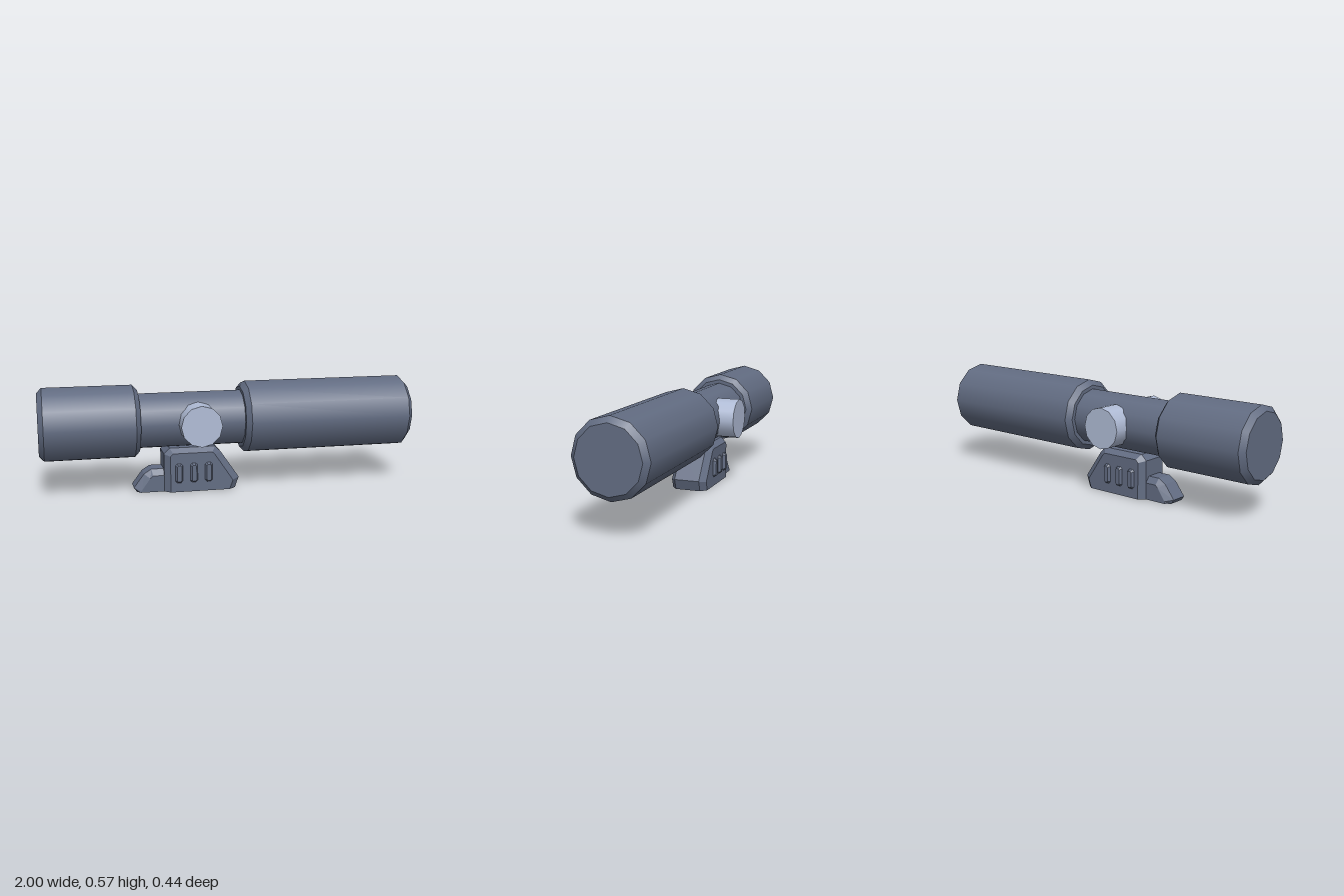
import * as THREE from 'three';

const AXIS_Y = 0.375;

export function createModel() {
  const root = new THREE.Group();
  root.name = 'scope';
  const slate = new THREE.MeshStandardMaterial({ color: 0x626c82 });
  slate.name = 'slate body';
  const pale = new THREE.MeshStandardMaterial({ color: 0xb0bcd6 });
  pale.name = 'pale knob';

  const add = (name, geo, mat, parent = root) => {
    const m = new THREE.Mesh(geo, mat);
    m.name = name;
    parent.add(m);
    return m;
  };

  // Twelve-sided band along x from (x0, r0) to (x1, r1)
  const band = (name, x0, r0, x1, r1, parent) => {
    const g = new THREE.CylinderGeometry(r1, r0, x1 - x0, 12, 1, true);
    g.rotateZ(-Math.PI / 2).translate((x0 + x1) / 2, AXIS_Y, 0);
    return add(name, g, slate, parent);
  };

  // Barrel with chamfered ends and flat caps
  const bell = (name, x0, x1) => {
    const group = new THREE.Group();
    group.name = name;
    root.add(group);
    const R = 0.195, r = 0.167, c = 0.026;
    band('rearChamfer', x0, r, x0 + c, R, group);
    band('barrel', x0 + c, R, x1 - c, R, group);
    band('frontChamfer', x1 - c, R, x1, r, group);
    for (const [x, s] of [[x0, -1], [x1, 1]]) {
      const cap = new THREE.CircleGeometry(r, 12).rotateY(s * Math.PI / 2);
      add('endCap', cap.translate(x, AXIS_Y, 0), slate, group);
    }
  };

  bell('eyepiece', -1, -0.483);
  bell('objective', 0.07, 1);
  band('tube', -0.483, 0.147, 0.07, 0.147);

  // Adjustment knobs on both sides
  for (const s of [-1, 1]) {
    const knob = new THREE.CylinderGeometry(0.108, 0.108, 0.122, 12);
    knob.rotateX(s * Math.PI / 2).translate(-0.177, AXIS_Y, s * 0.161);
    add(s > 0 ? 'frontKnob' : 'backKnob', knob, pale);
  }

  // Loft through [z, outline] sections (outlines counter-clockwise seen from +z), flat shaded
  const loft = (sections) => {
    const pos = [];
    const tri = (...pts) => pts.forEach((p) => pos.push(...p));
    const rings = sections.map(([z, pts]) => pts.map(([x, y]) => [x, y, z]));
    const n = rings[0].length;
    for (let k = 0; k + 1 < rings.length; k++) {
      for (let i = 0; i < n; i++) {
        const j = (i + 1) % n;
        const [a, b, c, d] = [rings[k][i], rings[k][j], rings[k + 1][j], rings[k + 1][i]];
        tri(a, b, c);
        tri(a, c, d);
      }
    }
    const back = rings[0], front = rings[rings.length - 1];
    for (const [p, q, r] of THREE.ShapeUtils.triangulateShape(
      front.map(([x, y]) => new THREE.Vector2(x, y)), [])) {
      tri(front[p], front[q], front[r]);
      tri(back[p], back[r], back[q]);
    }
    const g = new THREE.BufferGeometry();
    g.setAttribute('position', new THREE.Float32BufferAttribute(pos, 3));
    g.computeVertexNormals();
    return g;
  };
  const bevelled = (wide, narrow, zWide, zNarrow) =>
    loft([[-zWide, narrow], [-zNarrow, wide], [zNarrow, wide], [zWide, narrow]]);

  // Mount block with bevelled ends
  const mount = new THREE.Group();
  mount.name = 'mount';
  root.add(mount);
  const outer = [[-0.355, 0], [0.03, 0], [0.05, 0.058], [-0.05, 0.205], [-0.08, 0.235], [-0.325, 0.235], [-0.355, 0.205]];
  const inner = [[-0.325, 0], [-0.005, 0], [0.012, 0.05], [-0.085, 0.195], [-0.1, 0.21], [-0.31, 0.21], [-0.325, 0.195]];
  add('mountBlock', bevelled(outer, inner, 0.1, 0.07), slate, mount);

  // Rear release lever
  const leverOuter = [[-0.5, 0], [-0.34, 0], [-0.34, 0.12], [-0.42, 0.12], [-0.46, 0.095], [-0.515, 0.022]];
  const leverInner = [[-0.482, 0], [-0.34, 0], [-0.34, 0.088], [-0.415, 0.088], [-0.43, 0.075], [-0.475, 0.012]];
  add('lever', bevelled(leverOuter, leverInner, 0.07, 0.045), slate, mount);

  // Three raised grip ribs per side, running right through the block
  const rib = (x, w, y0, y1, c) => [
    [x - w + c, y0], [x + w - c, y0], [x + w, y0 + c], [x + w, y1 - c],
    [x + w - c, y1], [x - w + c, y1], [x - w, y1 - c], [x - w, y0 + c]];
  for (const x of [-0.28, -0.2, -0.12]) {
    const g = bevelled(rib(x, 0.02, 0.05, 0.155, 0.01), rib(x, 0.012, 0.059, 0.146, 0.006), 0.115, 0.1);
    add('gripRib', g, slate, mount);
  }
  return root;
}
